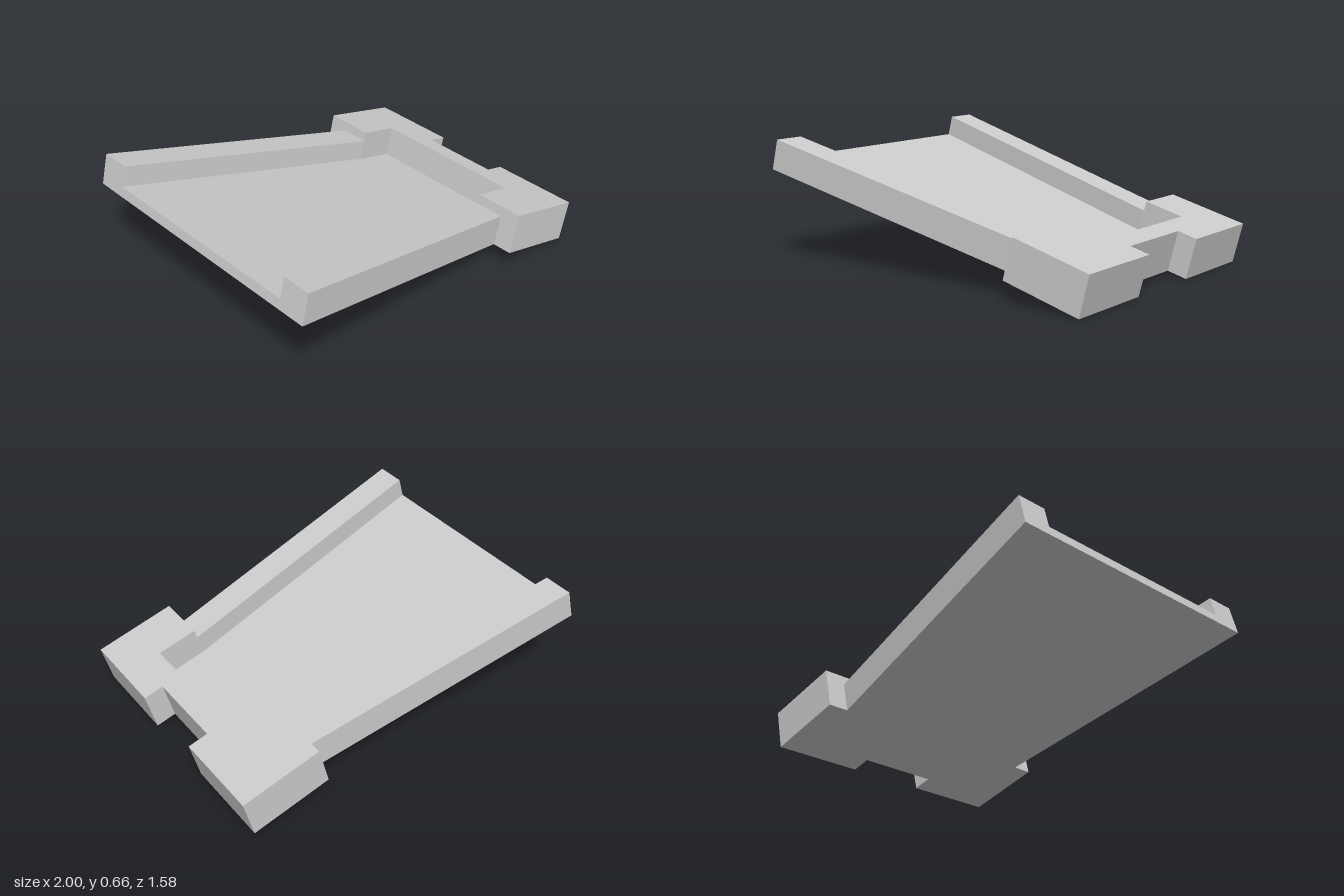
import * as THREE from 'three';

const material = new THREE.MeshStandardMaterial({ color: 0xcccccc, flatShading: true });

// Flat outline (length along the slope, width) raised to a given height.
function slab(name, points, height) {
  const shape = new THREE.Shape(points.map(([u, w]) => new THREE.Vector2(u, w)));
  const geometry = new THREE.ExtrudeGeometry(shape, { depth: height, bevelEnabled: false });
  geometry.rotateX(-Math.PI / 2);
  const mesh = new THREE.Mesh(geometry, material);
  mesh.name = name;
  return mesh;
}

// Half outline completed by its mirror image.
const mirrored = (half) => [...half, ...half.map(([u, w]) => [u, -w]).reverse()];

export function createModel() {
  const group = new THREE.Group();
  group.name = 'slopedChute';

  const blockStart = 1.558, pocketEnd = 1.782, notchStart = 1.895, blockEnd = 2.005;
  const railHeight = 0.168, blockHeight = 0.221, floorHeight = 0.054;

  const chute = new THREE.Group();
  chute.name = 'tiltedBody';

  // Tapering floor, running on into the pocket of the end block
  chute.add(slab('floor', mirrored([[0, 0.622], [blockStart, 0.445], [pocketEnd, 0.445]]), floorHeight));

  // Side rails
  for (const side of [1, -1]) {
    chute.add(slab(side > 0 ? 'backRail' : 'frontRail', [
      [0, 0.622 * side], [blockStart, 0.445 * side],
      [blockStart, 0.613 * side], [0, 0.788 * side],
    ], railHeight));
  }

  // End block with an inner pocket and an outer notch
  chute.add(slab('endBlock', mirrored([
    [pocketEnd, 0.445], [blockStart, 0.445], [blockStart, 0.724],
    [blockEnd, 0.724], [blockEnd, 0.224], [notchStart, 0.224],
  ]), blockHeight));

  chute.rotation.z = -Math.asin(0.25);
  chute.position.set(-1, 0.502, 0);
  group.add(chute);
  return group;
}
